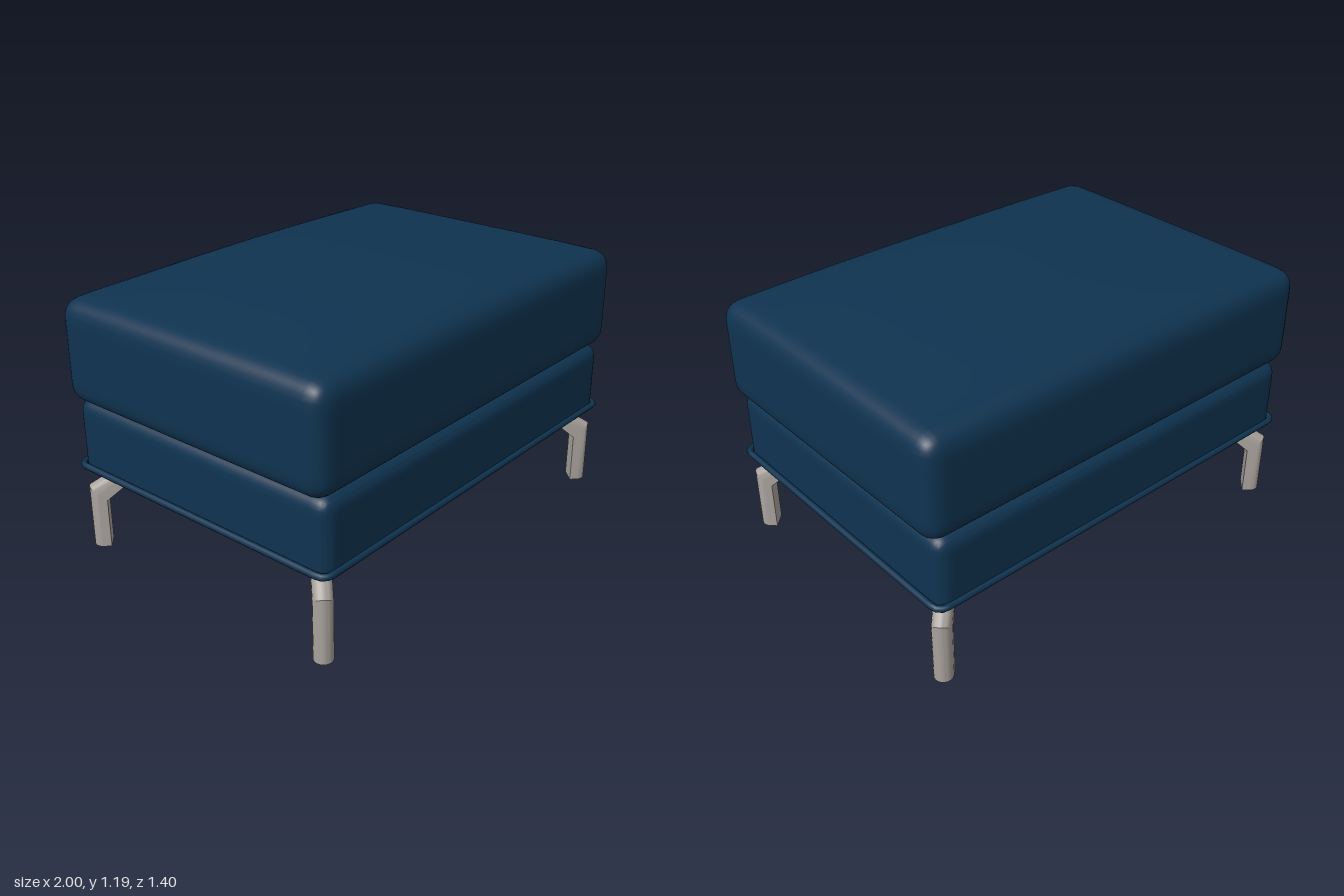
import * as THREE from 'three';
import { mergeVertices, toCreasedNormals } from 'three/addons/utils/BufferGeometryUtils.js';

// Upholstered block: rounded edges, optional square bottom edge and domed top
function softBlock(hx, hz, y0, y1, r, { squareBottom = false, dome = 0 } = {}) {
  const geo = new THREE.BoxGeometry(2, 2, 2, 40, 16, 32);
  const pos = geo.attributes.position;
  const clamp = THREE.MathUtils.clamp;
  const p = new THREE.Vector3(), core = new THREE.Vector3();
  const hy = (y1 - y0) / 2, cy = (y0 + y1) / 2;
  const ease = (t) => Math.sin((t * Math.PI) / 2); // denser grid near the edges
  for (let i = 0; i < pos.count; i++) {
    p.set(ease(pos.getX(i)) * hx, cy + ease(pos.getY(i)) * hy, ease(pos.getZ(i)) * hz);
    core.set(
      clamp(p.x, -hx + r, hx - r),
      clamp(p.y, squareBottom ? y0 : y0 + r, y1 - r),
      clamp(p.z, -hz + r, hz - r)
    );
    p.sub(core);
    if (p.lengthSq() > 1e-12) p.setLength(r);
    p.add(core);
    const lift = clamp((p.y - cy) / hy, 0, 1) ** 2;
    p.y += dome * lift * (1 - (p.x / hx) ** 2) * (1 - (p.z / hz) ** 4);
    pos.setXYZ(i, p.x, p.y, p.z);
  }
  geo.deleteAttribute('uv');
  geo.deleteAttribute('normal');
  const merged = mergeVertices(geo, 1e-5);
  if (squareBottom) return toCreasedNormals(merged, 0.7);
  merged.computeVertexNormals();
  return merged;
}

// Cord running round a rounded rectangle
function pipingGeometry(hx, hz, corner, radius) {
  const s = new THREE.Shape();
  s.absarc(hx - corner, hz - corner, corner, 0, Math.PI / 2);
  s.absarc(-hx + corner, hz - corner, corner, Math.PI / 2, Math.PI);
  s.absarc(-hx + corner, -hz + corner, corner, Math.PI, Math.PI * 1.5);
  s.absarc(hx - corner, -hz + corner, corner, Math.PI * 1.5, Math.PI * 2);
  s.closePath();
  const pts = s.getSpacedPoints(240).slice(0, -1).map((q) => new THREE.Vector3(q.x, 0, q.y));
  return new THREE.TubeGeometry(new THREE.CatmullRomCurve3(pts, true), 280, radius, 10, true);
}

// Bent metal leg: D-shaped section, round side facing +x, arm reaching towards -x
function legGeometry() {
  const R = 0.04, depth = 0.075, arcSteps = 12;
  const section = [];
  for (let i = 0; i <= arcSteps; i++) {
    const a = -Math.PI / 2 + (Math.PI * i) / arcSteps;
    section.push([R * Math.cos(a), R * Math.sin(a)]);
  }
  section.push([R - depth, R], [R - depth, -R]);
  // each ring: outer inset, outer height, inner inset, inner height
  const rings = [
    [0, 0, 0.075, 0],
    [0, 0.285, 0.075, 0.225],
    [0.11, 0.354, 0.163, 0.3],
    [0.143, 0.375, 0.228, 0.34],
    [0.143, 0.382, 0.228, 0.382],
  ];
  const verts = [], index = [], n = section.length;
  for (const [so, yo, si, yi] of rings) {
    for (const [x, z] of section) {
      const u = (R - x) / depth;
      verts.push(R - (so + (si - so) * u), yo + (yi - yo) * u, z);
    }
  }
  for (let k = 0; k < rings.length - 1; k++) {
    for (let j = 0; j < n; j++) {
      const a = k * n + j, b = k * n + ((j + 1) % n);
      index.push(a, a + n, b, b, a + n, b + n);
    }
  }
  const top = (rings.length - 1) * n;
  for (let j = 1; j < n - 1; j++) {
    index.push(0, j, j + 1); // foot
    index.push(top, top + j + 1, top + j); // mounting face
  }
  const geo = new THREE.BufferGeometry();
  geo.setAttribute('position', new THREE.Float32BufferAttribute(verts, 3));
  geo.setIndex(index);
  return toCreasedNormals(geo, 0.5);
}

export function createModel() {
  const model = new THREE.Group();
  model.name = 'ottoman';

  const fabric = new THREE.MeshStandardMaterial({ color: 0x0f3350 });
  fabric.name = 'navy fabric';
  const metal = new THREE.MeshStandardMaterial({ color: 0xa8a29c });
  metal.name = 'brushed metal';

  const add = (name, geometry, material) => {
    const mesh = new THREE.Mesh(geometry, material);
    mesh.name = name;
    model.add(mesh);
    return mesh;
  };

  add('cushion', softBlock(1, 0.695, 0.685, 1.135, 0.08, { dome: 0.055 }), fabric);
  add('base', softBlock(0.96, 0.682, 0.378, 0.69, 0.055, { squareBottom: true }), fabric);
  add('piping', pipingGeometry(0.972, 0.686, 0.04, 0.014), fabric).position.y = 0.39;

  // Four legs, each turned towards its corner
  const leg = legGeometry();
  for (const [sx, xName] of [[1, 'Left'], [-1, 'Right']]) {
    for (const [sz, zName] of [[1, 'front'], [-1, 'back']]) {
      const mesh = add(`${zName}${xName}Leg`, leg, metal);
      mesh.position.set(sx * 0.925, 0, sz * 0.635);
      mesh.rotation.y = Math.atan2(-sz, sx);
    }
  }
  return model;
}
